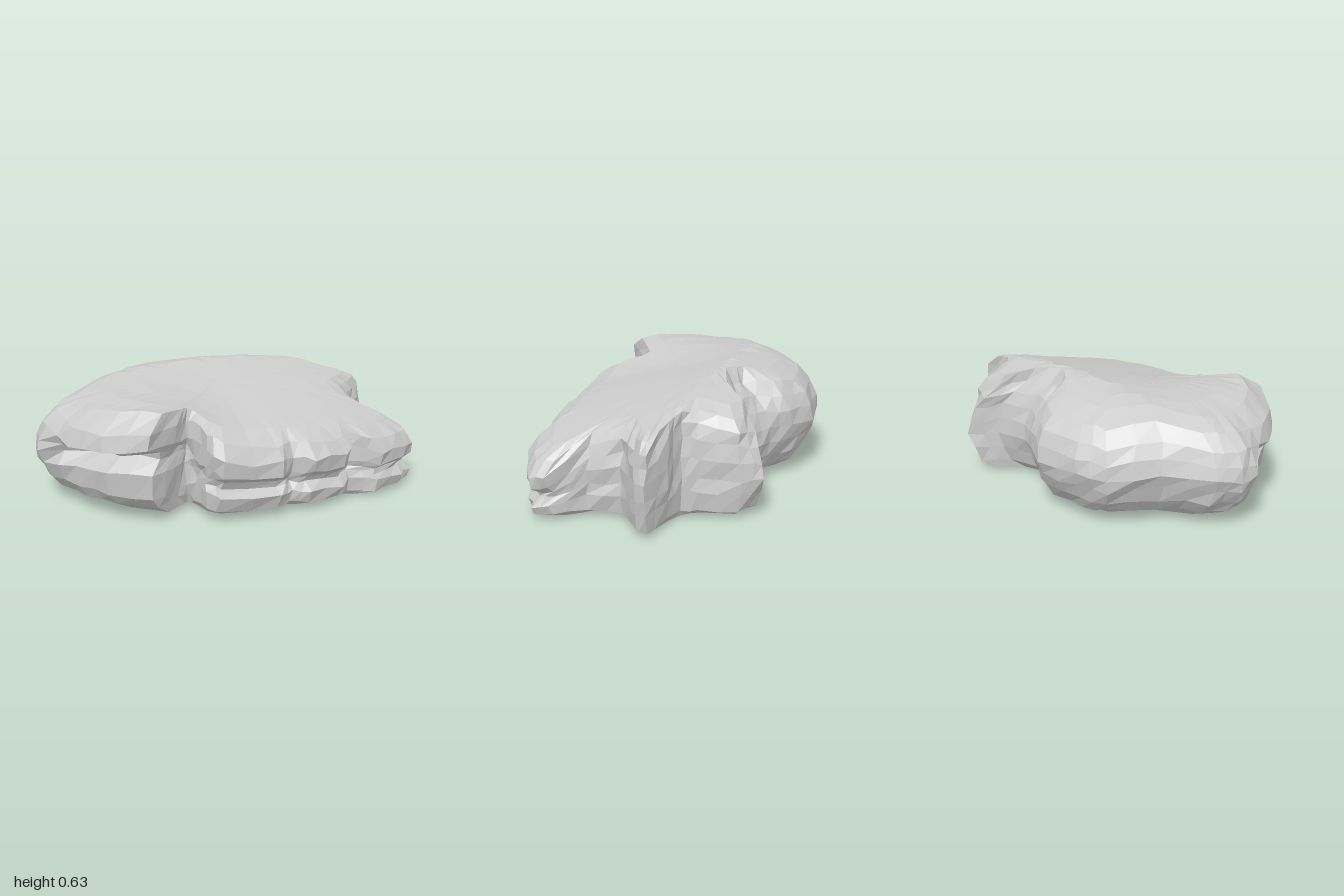
import * as THREE from 'three';

const material = new THREE.MeshStandardMaterial({ color: 0xcccccc, flatShading: true, side: THREE.DoubleSide });

function seeded(seed) {
  return () => {
    seed = (seed * 16807) % 2147483647;
    return seed / 2147483647 - 0.5;
  };
}

// Sloping upper face: ridge towards the back, falling to the front right
function topHeight(x, z) {
  const slope = THREE.MathUtils.lerp(0.01, 0.26, THREE.MathUtils.smoothstep(x, -0.6, 0.05));
  return 0.635 - 0.15 * x * x - (z > -0.25 ? (z + 0.25) * slope : (-0.25 - z) * 0.25);
}
const baseHeight = (x) => 0.025 - 0.02 * x;

// Wall profiles: [inward distance, share of the height], bottom to top
const profiles = {
  back: [[0.2, 0], [0.12, 0.09], [0.06, 0.23], [0.02, 0.4], [0, 0.55], [0.015, 0.7], [0.05, 0.84], [0.12, 0.95], [0.24, 1]],
  step: [[0.14, 0], [0.06, 0.09], [0.025, 0.25], [0, 0.4], [0, 0.55], [0.03, 0.7], [0.09, 0.81], [0.16, 0.89], [0.21, 1]],
  side: [[0.07, 0], [0.01, 0.07], [0, 0.25], [0, 0.4], [0, 0.58], [0.02, 0.74], [0.03, 0.87], [0.07, 0.96], [0.15, 1]],
  front: [[0.12, 0], [0.03, 0.09], [0.01, 0.26], [0.05, 0.36], [0.04, 0.44], [0.01, 0.54], [0, 0.75], [0.05, 0.91], [0.16, 1]],
  ledge: [[0.2, 0], [0.1, 0.1], [0.05, 0.22], [0.04, 0.45], [0.13, 0.57], [0.1, 0.63], [0, 0.7], [0.02, 0.86], [0.14, 1]],
};

// Plan outline of the rock by kind of wall; a third number softens the profile in hollows
const outline = [
  ['back', [-0.99, -0.07], [-0.92, -0.18], [-0.72, -0.34], [-0.55, -0.57], [-0.4, -0.63], [-0.16, -0.67], [0, -0.6]],
  ['step', [0.1, -0.51], [0.22, -0.46], [0.42, -0.49], [0.53, -0.61]],
  ['side', [0.6, -0.52], [0.66, -0.33], [0.67, -0.24, 0.3], [0.8, -0.22], [0.97, -0.18], [0.94, -0.11], [0.87, -0.05],
    [0.8, 0.02], [0.82, 0.2]],
  ['front', [0.98, 0.34], [0.99, 0.42], [0.9, 0.49], [0.72, 0.58], [0.57, 0.51, 0.5], [0.5, 0.59], [0.3, 0.64],
    [0.2, 0.6, 0.7], [0.12, 0.65], [-0.2, 0.65], [-0.25, 0.55, 0.6], [-0.27, 0.42, 0.3]],
  ['ledge', [-0.3, 0.37, 0.2], [-0.38, 0.44, 0.6], [-0.55, 0.58], [-0.75, 0.43], [-0.87, 0.24]],
  ['back', [-0.99, 0.03]],
].flatMap(([kind, ...points]) => points.map(([x, z, soft = 1]) => (
  { x, z, profile: profiles[kind].map(([inset, share]) => [inset * soft, share]) })));

// Outline with each edge split in two
function columns() {
  const list = [];
  outline.forEach((p, i) => {
    const q = outline[(i + 1) % outline.length];
    list.push(p, {
      x: (p.x + q.x) / 2,
      z: (p.z + q.z) / 2,
      profile: p.profile.map((v, j) => [(v[0] + q.profile[j][0]) / 2, (v[1] + q.profile[j][1]) / 2]),
    });
  });
  return list;
}

function slabGeometry() {
  const random = seeded(91);
  const cols = columns();
  const n = cols.length;
  const positions = [];
  const index = [];
  const levels = profiles.back.length;
  const topScales = [0.8, 0.55, 0.3];

  // Side walls
  for (let j = 0; j < levels; j++) {
    for (const { x, z, profile } of cols) {
      const [inset, share] = profile[j];
      const s = 1 - inset / Math.hypot(x, z);
      const px = x * s, pz = z * s;
      const low = baseHeight(px);
      const wobble = j > 0 && j < levels - 1 ? 0.02 : 0.005;
      positions.push(px + random() * wobble, low + share * (topHeight(px, pz) - low) + random() * wobble,
        pz + random() * wobble);
    }
  }
  // Upper face
  for (const scale of topScales) {
    for (const { x, z, profile } of cols) {
      const s = (1 - profile[levels - 1][0] / Math.hypot(x, z)) * scale;
      positions.push(x * s, topHeight(x * s, z * s), z * s);
    }
  }
  const rings = levels + topScales.length;
  for (let j = 0; j < rings - 1; j++) {
    for (let i = 0; i < n; i++) {
      const a = j * n + i, b = j * n + (i + 1) % n;
      index.push(a, a + n, b, b, a + n, b + n);
    }
  }
  // Closing fans above and below
  const top = rings * n, bottom = top + 1;
  positions.push(0, topHeight(0, 0), 0, 0, baseHeight(0), 0);
  for (let i = 0; i < n; i++) {
    const k = (i + 1) % n;
    index.push(top, (rings - 1) * n + k, (rings - 1) * n + i, bottom, i, k);
  }
  const geometry = new THREE.BufferGeometry();
  geometry.setAttribute('position', new THREE.Float32BufferAttribute(positions, 3));
  geometry.setIndex(index);
  geometry.computeVertexNormals();
  return geometry;
}

export function createModel() {
  const group = new THREE.Group();
  group.name = 'rock';
  const slab = new THREE.Mesh(slabGeometry(), material);
  slab.name = 'rockSlab';
  group.add(slab);
  return group;
}
